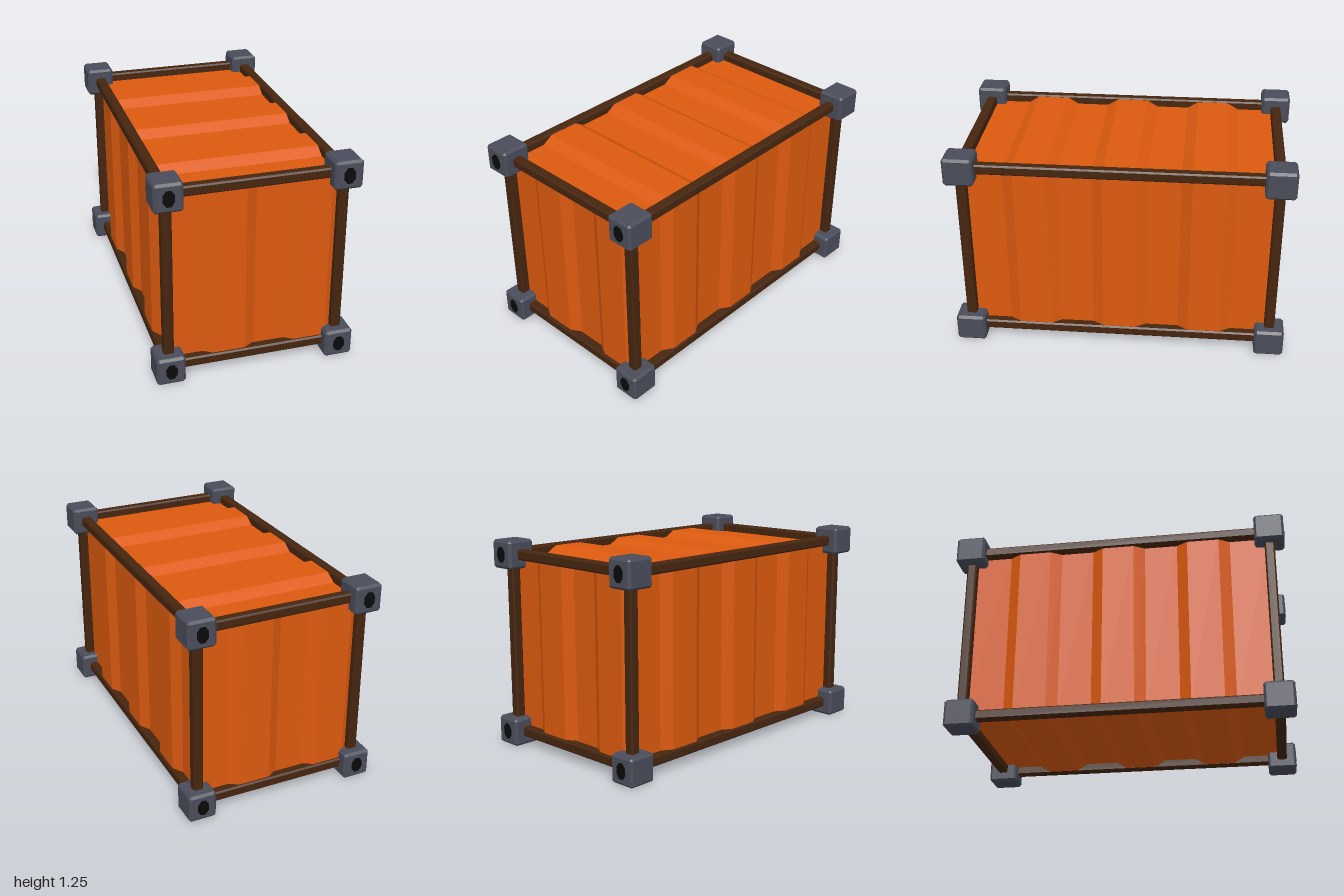
import * as THREE from 'three';
import { ConvexGeometry } from 'three/addons/geometries/ConvexGeometry.js';

const mat = (name, color, side = THREE.FrontSide) => {
  const m = new THREE.MeshStandardMaterial({ color, flatShading: true, side });
  m.name = name;
  return m;
};

// Half distances between the frame axes, and the frame's middle height
const X = 0.503, Y = 0.541, Z = 0.912, MID = 0.626;

// Box with all edges cut at 45 degrees
function chamferBox(w, h, d, c) {
  const points = [];
  const half = [w / 2, h / 2, d / 2];
  for (const sx of [-1, 1]) for (const sy of [-1, 1]) for (const sz of [-1, 1])
    for (let axis = 0; axis < 3; axis++) {
      const p = half.map((v, i) => (i === axis ? v : v - c));
      points.push(new THREE.Vector3(p[0] * sx, p[1] * sy, p[2] * sz));
    }
  return new ConvexGeometry(points);
}

// Corrugated sheet: ribs run along y, raised toward +z, at the given x centres
function corrugated(halfLength, halfHeight, ribs) {
  const low = -0.02, high = 0.02, top = 0.095, foot = 0.16;
  const profile = [[-halfLength, low]];
  for (const c of ribs)
    profile.push([c - foot, low], [c - top, high], [c + top, high], [c + foot, low]);
  profile.push([halfLength, low]);
  const pos = [];
  for (let i = 0; i < profile.length - 1; i++) {
    const [x0, z0] = profile[i], [x1, z1] = profile[i + 1];
    const a = [x0, -halfHeight, z0], b = [x1, -halfHeight, z1];
    const c = [x1, halfHeight, z1], d = [x0, halfHeight, z0];
    pos.push(...a, ...b, ...c, ...a, ...c, ...d);
  }
  const g = new THREE.BufferGeometry();
  g.setAttribute('position', new THREE.Float32BufferAttribute(pos, 3));
  g.computeVertexNormals();
  return g;
}

export function createModel() {
  const orange = mat('orange panel', 0xdd5a0f, THREE.DoubleSide);
  const brown = mat('brown frame', 0x46250f);
  const grey = mat('grey corner', 0x4a4d5a);
  const black = mat('black hole', 0x0a0a0a);

  const model = new THREE.Group();
  model.name = 'cargoContainer';
  const add = (name, geometry, material, x, y, z) => {
    const mesh = new THREE.Mesh(geometry, material);
    mesh.name = name;
    mesh.position.set(x, y, z);
    model.add(mesh);
    return mesh;
  };

  // Frame bars along each axis
  const t = 0.06, c = 0.009;
  const post = chamferBox(t, 2 * Y, t, c);
  const crossBar = chamferBox(2 * X, t, t, c);
  const longBar = chamferBox(t, t, 2 * Z, c);
  for (const a of [-1, 1]) for (const b of [-1, 1]) {
    add('cornerPost', post, brown, a * X, MID, b * Z);
    add('crossBar', crossBar, brown, 0, MID + a * Y, b * Z);
    add('longBar', longBar, brown, a * X, MID + b * Y, 0);
  }

  // Corner blocks with a dark oval hole on each end face
  const block = chamferBox(0.166, 0.168, 0.176, 0.014);
  const hole = new THREE.CylinderGeometry(0.05, 0.05, 0.006, 8)
    .rotateY(Math.PI / 8).rotateX(Math.PI / 2).scale(0.72, 1, 1);
  for (const sx of [-1, 1]) for (const sy of [-1, 1]) for (const sz of [-1, 1]) {
    const y = MID + sy * Y;
    add('cornerBlock', block, grey, sx * X, y, sz * Z);
    add('cornerHole', hole, black, sx * X, y, sz * (Z + 0.088));
  }

  // End walls
  const endWall = corrugated(X, Y, [-0.145, 0.345]);
  add('frontWall', endWall, orange, 0, MID, Z - 0.007);
  add('backWall', endWall, orange, 0, MID, -Z + 0.007).rotation.y = Math.PI;

  // Side walls
  const ribs = [-0.515, 0, 0.515];
  const sideWall = corrugated(Z, Y, ribs);
  for (const s of [-1, 1])
    add('sideWall', sideWall, orange, s * X, MID, 0).rotation.y = s * Math.PI / 2;

  // Roof and floor, ribs running across
  const deck = corrugated(Z, X, ribs);
  for (const s of [-1, 1]) {
    const basis = new THREE.Matrix4().makeBasis(
      new THREE.Vector3(0, 0, s), new THREE.Vector3(1, 0, 0), new THREE.Vector3(0, s, 0));
    add(s > 0 ? 'roof' : 'floor', deck, orange, 0, MID + s * Y, 0)
      .quaternion.setFromRotationMatrix(basis);
  }
  return model;
}
